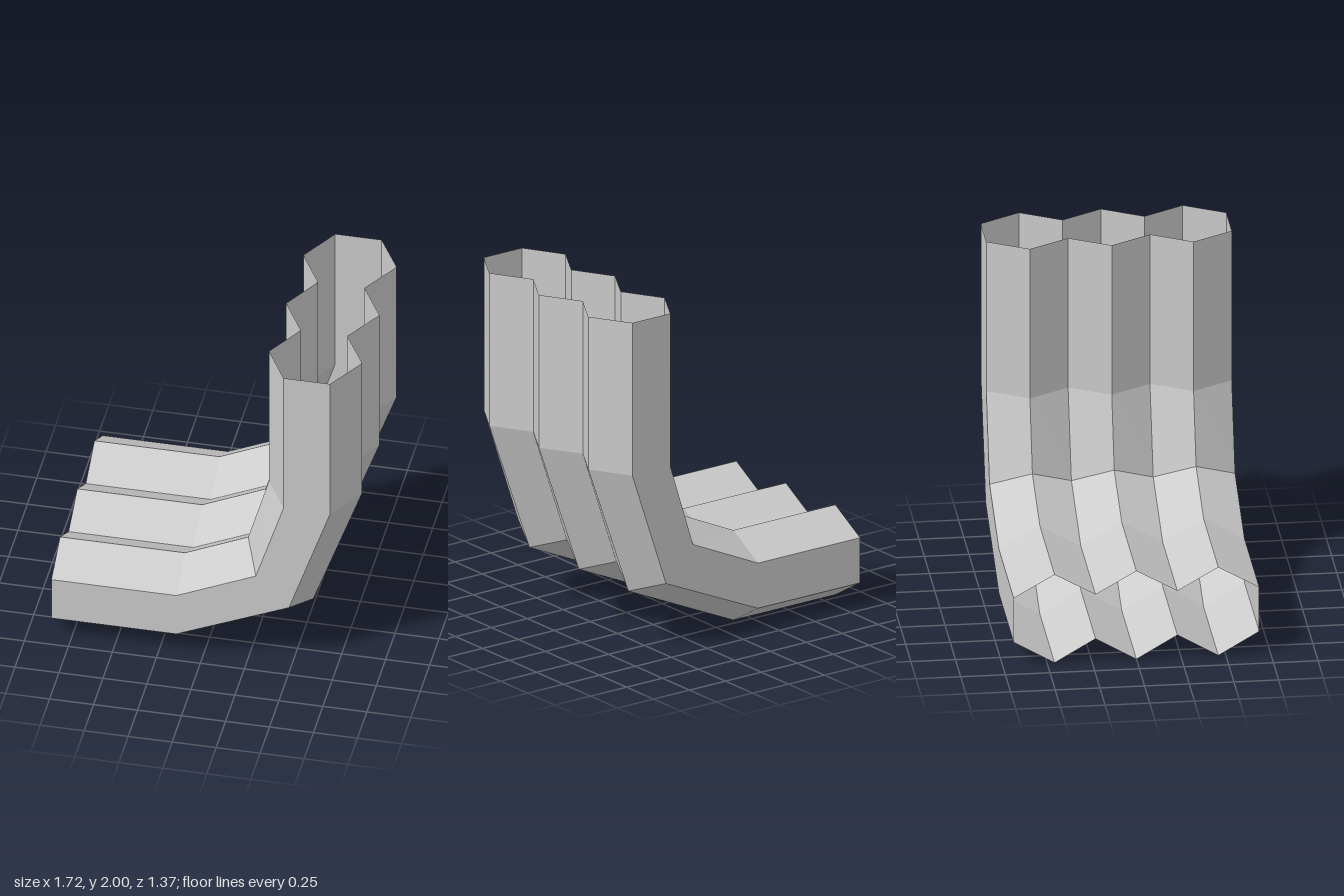
import * as THREE from 'three';

// Side profiles [x, y] at each station, from the free end of the seat to the top of the back
const profiles = {
  outerRidge: [[-0.86, 0], [-0.15, 0], [0.58, 0.325], [0.858, 1.1], [0.858, 2]],
  outerValley: [[-0.86, 0.134], [-0.15, 0.134], [0.49, 0.415], [0.724, 1.1], [0.724, 2]],
  innerValley: [[-0.86, 0.4], [-0.15, 0.4], [0.302, 0.605], [0.46, 1.1], [0.46, 2]],
  innerRidge: [[-0.86, 0.53], [-0.15, 0.53], [0.21, 0.695], [0.328, 1.1], [0.328, 2]],
};
const TUBES = 3;
const HALF_WIDTH = 0.229; // half the flat-to-flat width of one hexagon

// Closed zigzag outline of the merged hexagons at one station
function section(i) {
  const loop = [];
  const add = (side, k) => {
    const [x, y] = profiles[side + (k % 2 ? 'Ridge' : 'Valley')][i];
    loop.push([x, y, (k - TUBES) * HALF_WIDTH]);
  };
  for (let k = 0; k <= 2 * TUBES; k++) add('outer', k);
  for (let k = 2 * TUBES; k >= 0; k--) add('inner', k);
  return loop;
}

// Join consecutive sections with flat quads; both ends stay open
function loft(sections) {
  const pos = [];
  for (let i = 0; i < sections.length - 1; i++) {
    const a = sections[i], b = sections[i + 1];
    for (let j = 0; j < a.length; j++) {
      const n = (j + 1) % a.length;
      pos.push(...a[j], ...b[j], ...b[n], ...a[j], ...b[n], ...a[n]);
    }
  }
  const geometry = new THREE.BufferGeometry();
  geometry.setAttribute('position', new THREE.Float32BufferAttribute(pos, 3));
  geometry.computeVertexNormals();
  return geometry;
}

export function createModel() {
  const group = new THREE.Group();
  group.name = 'bentHexagonalTubes';
  const material = new THREE.MeshStandardMaterial({
    color: 0xcccccc, flatShading: true, side: THREE.DoubleSide,
  });
  // Three hexagonal tubes merged into one open shell
  const shell = new THREE.Mesh(loft(profiles.outerRidge.map((_, i) => section(i))), material);
  shell.name = 'tubeShell';
  group.add(shell);
  return group;
}
